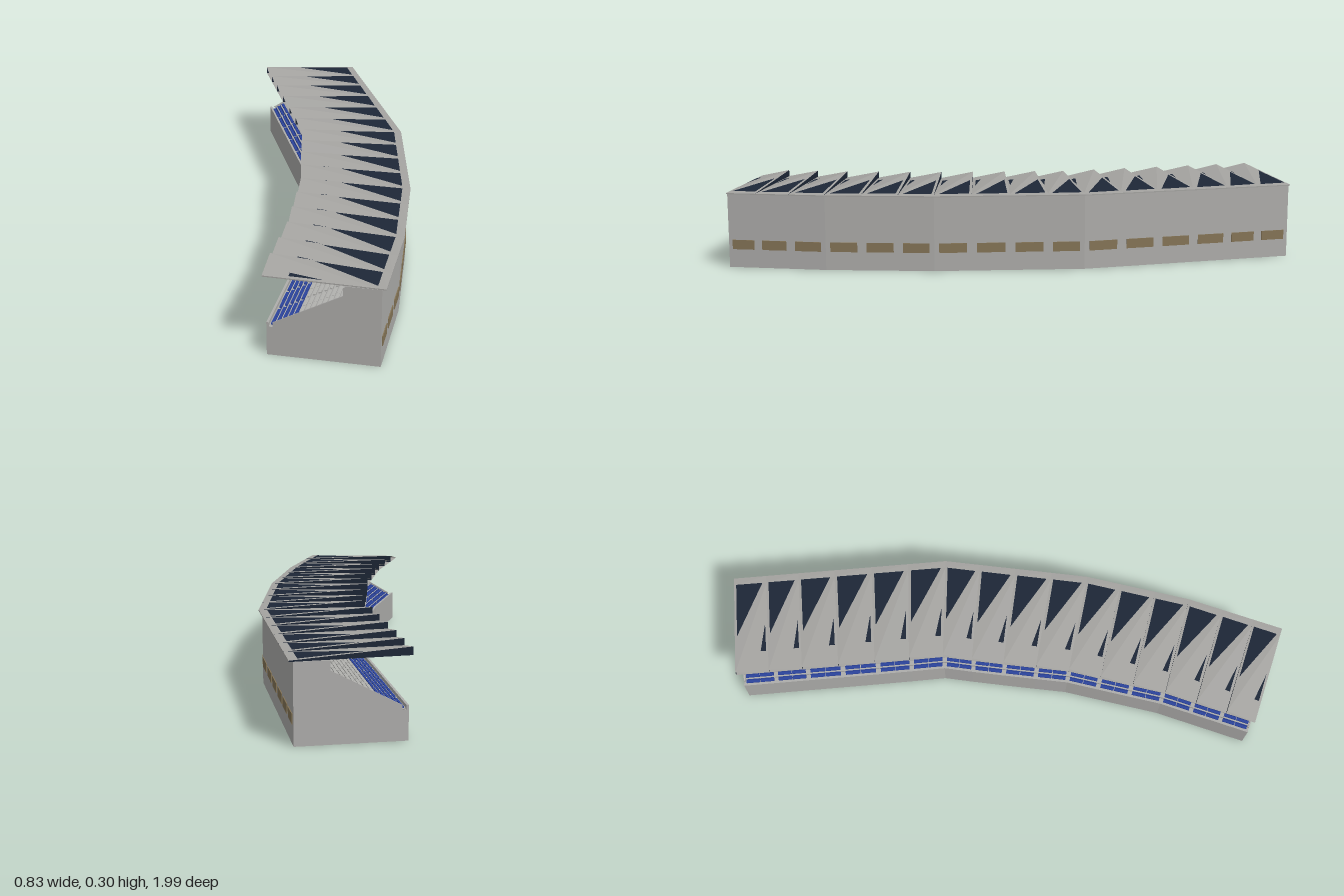
import * as THREE from 'three';

// Bay boundaries along the faceted outer wall, and the heading (degrees) of each
const STATION_Z = [0.998, 0.89, 0.77, 0.641, 0.512, 0.383, 0.256, 0.126, -0.007,
  -0.139, -0.266, -0.394, -0.52, -0.647, -0.77, -0.88, -0.99];
const HEADINGS = [0, 0, 1, 3, 4.5, 6, 7.5, 9.5, 12, 15, 18.5, 21, 23, 24, 24.5, 24.5, 24.5];
const WALL_CORNERS = [[0.4, 0.998], [0.4, 0.641], [0.363, 0.256], [0.25, -0.266], [-0.077, -0.99]];
const BAYS = STATION_Z.length - 1;
const ROWS = 12, BLUE_ROWS = 5, ROW_D = 0.0182, ROW_H = 0.0095;

// Position on the outer wall and inward normal at every boundary
const stations = STATION_Z.map((z, i) => {
  const k = Math.max(1, WALL_CORNERS.findIndex((c) => c[1] <= z));
  const [x0, z0] = WALL_CORNERS[k - 1], [x1, z1] = WALL_CORNERS[k];
  const h = THREE.MathUtils.degToRad(HEADINGS[i]);
  return { x: x0 + (x1 - x0) * (z - z0) / (z1 - z0), z, nx: -Math.cos(h), nz: Math.sin(h) };
});

// Point at station s (may be fractional), depth d inward from the outer wall, height y
function at(s, d, y) {
  const i = Math.min(Math.floor(s), BAYS - 1), f = s - i;
  const p = stations[i], q = stations[i + 1];
  const mix = (k) => p[k] + (q[k] - p[k]) * f;
  return [mix('x') + mix('nx') * d, y, mix('z') + mix('nz') * d];
}

// Collects triangles for one part
class Part {
  constructor() { this.pos = []; }
  tri(a, b, c) { this.pos.push(...a, ...b, ...c); return this; }
  quad(a, b, c, d) { return this.tri(a, b, c).tri(a, c, d); }
  // Sweep a [depth, height] profile between two stations
  sweep(s0, s1, profile, closed = true) {
    const n = profile.length;
    for (let k = 0; k < (closed ? n : n - 1); k++) {
      const [d0, y0] = profile[k], [d1, y1] = profile[(k + 1) % n];
      this.quad(at(s0, d0, y0), at(s0, d1, y1), at(s1, d1, y1), at(s1, d0, y0));
    }
    if (closed) { this.cap(s0, profile); this.cap(s1, profile); }
    return this;
  }
  // Flat panel filling a profile at one station
  cap(s, profile) {
    const pts = profile.map(([d, y]) => new THREE.Vector2(d, y));
    for (const f of THREE.ShapeUtils.triangulateShape(pts, [])) {
      this.tri(...f.map((k) => at(s, ...profile[k])));
    }
    return this;
  }
  mesh(name, material) {
    const g = new THREE.BufferGeometry();
    g.setAttribute('position', new THREE.Float32BufferAttribute(this.pos, 3));
    g.computeVertexNormals();
    const m = new THREE.Mesh(g, material);
    m.name = name;
    return m;
  }
}

const box = (d0, d1, y0, y1) => [[d0, y0], [d1, y0], [d1, y1], [d0, y1]];

export function createModel() {
  const paint = (name, color) =>
    new THREE.MeshStandardMaterial({ name, color, side: THREE.DoubleSide });
  const concrete = paint('concrete', 0xaeadab);
  const roofGrey = paint('roof grey', 0xa5a4a1);
  const glass = paint('dark roof glass', 0x1d2737);
  const blue = paint('blue seat', 0x2b439c);
  const greySeat = paint('grey seat', 0xb2b2af);
  const tan = paint('tan window', 0x857557);
  const black = paint('box window', 0x262629);

  const group = new THREE.Group();
  group.name = 'grandstand';

  // Stepped deck with the concourse and its rear wall
  const steps = [];
  for (let k = 0; k < ROWS; k++) {
    const y = 0.103 + k * ROW_H, d = 0.352 - k * ROW_D;
    steps.push([d, y], [d - ROW_D, y]);
  }
  const deckTop = 0.103 + ROWS * ROW_H;
  steps.push([0.352 - ROWS * ROW_D, deckTop], [0.115, deckTop], [0.115, 0.268]);

  const outerWall = new Part(), frontWall = new Part(), deck = new Part();
  const wallWindows = new Part(), boxWindows = new Part(), columns = new Part();
  const blueSeats = new Part(), greySeats = new Part();
  for (let i = 0; i < BAYS; i++) {
    outerWall.sweep(i, i + 1, [[0, 0], [0, 0.268]], false);
    frontWall.sweep(i, i + 1, box(0.352, 0.36, 0, 0.115));
    deck.sweep(i, i + 1, steps, false);
    wallWindows.sweep(i + 0.13, i + 0.87, box(-0.003, 0, 0.066, 0.1));
    boxWindows.sweep(i + 0.14, i + 0.86, box(0.115, 0.118, 0.22, 0.247));
    columns.sweep(Math.max(i - 0.07, 0), i + 0.07, box(0.115, 0.12, deckTop, 0.262));

    // Seat rows, each a pan and a backrest, split by aisles
    for (let k = 0; k < ROWS; k++) {
      const part = k < BLUE_ROWS ? blueSeats : greySeats;
      const y = 0.103 + k * ROW_H, d = 0.352 - (k + 1) * ROW_D;
      for (const [a, b] of [[0.07, 0.49], [0.51, 0.93]]) {
        part.sweep(i + a, i + b, box(d + 0.003, d + 0.013, y, y + 0.005));
        part.sweep(i + a, i + b, box(d + 0.001, d + 0.003, y, y + 0.011));
      }
    }
  }
  group.add(
    outerWall.mesh('outerWall', concrete),
    frontWall.mesh('frontWall', concrete),
    deck.mesh('steppedDeck', concrete),
    wallWindows.mesh('outerWallWindows', tan),
    boxWindows.mesh('boxWindows', black),
    columns.mesh('boxColumns', concrete),
    blueSeats.mesh('lowerSeats', blue),
    greySeats.mesh('upperSeats', greySeat),
  );

  // Radial walls below the deck, and taller end walls
  const inner = [[0, 0], [0.36, 0], [0.36, 0.098], [0.34, 0.098], [0.115, 0.213], [0.115, 0.265], [0, 0.265]];
  const end = [[0, 0], [0.36, 0], [0.36, 0.1], [0.34, 0.1], [0.34, 0.115], [0.115, 0.235], [0.115, 0.267], [0, 0.267]];
  const radial = new Part(), ends = new Part();
  for (let i = 1; i < BAYS; i++) radial.cap(i, inner);
  ends.sweep(0, 0.04, end).sweep(BAYS - 0.04, BAYS, end);
  group.add(radial.mesh('radialWalls', concrete), ends.mesh('endWalls', concrete));

  // Sawtooth roof: every bay rises towards its far inner corner, open at the inner edge
  const panels = new Part(), panes = new Part(), risers = new Part(), soffit = new Part();
  const D0 = -0.013, D1 = 0.372, RIM = 0.015, MID = 0.24;
  const slope = (y0, rise) => (d) => y0 + rise * (d - D0) / (D1 - D0);
  const low = slope(0.271, 0.005), high = slope(0.271, 0.028), under = slope(0.267, 0.005);
  for (let i = 0; i < BAYS; i++) {
    const near = (d) => at(i, d, low(d)), far = (d) => at(i + 1, d, high(d));
    const base = (s, d) => at(s, d, under(d));
    // Grey sheet folded along the diagonal
    panels.quad(near(D0), far(D0), far(RIM), near(RIM));
    panels.tri(near(RIM), far(RIM), far(MID));
    panels.quad(near(RIM), far(MID), far(D1), near(D1));
    // Dark triangular pane and a small sliver pane, just above the sheet
    const lift = (f, d) => at(i + f, d, low(d) + (high(d) - low(d)) * f + 0.002);
    panes.tri(lift(0.12, RIM), lift(0.93, RIM), lift(0.93, MID - 0.012));
    panes.tri(lift(0.08, 0.18), lift(0.24, 0.29), lift(0.08, 0.29));
    // Dark step to the next bay, outer edge, underside
    risers.quad(base(i + 1, D0), base(i + 1, D1), far(D1), far(D0));
    panels.quad(base(i, D0), near(D0), far(D0), base(i + 1, D0));
    soffit.quad(base(i, D0), base(i + 1, D0), base(i + 1, D1), base(i, D1));
    if (i === 0) panels.quad(base(0, D0), base(0, D1), near(D1), near(D0));
  }
  group.add(
    panels.mesh('roofPanels', roofGrey),
    panes.mesh('roofPanes', glass),
    risers.mesh('roofRisers', glass),
    soffit.mesh('roofUnderside', roofGrey),
  );
  return group;
}
